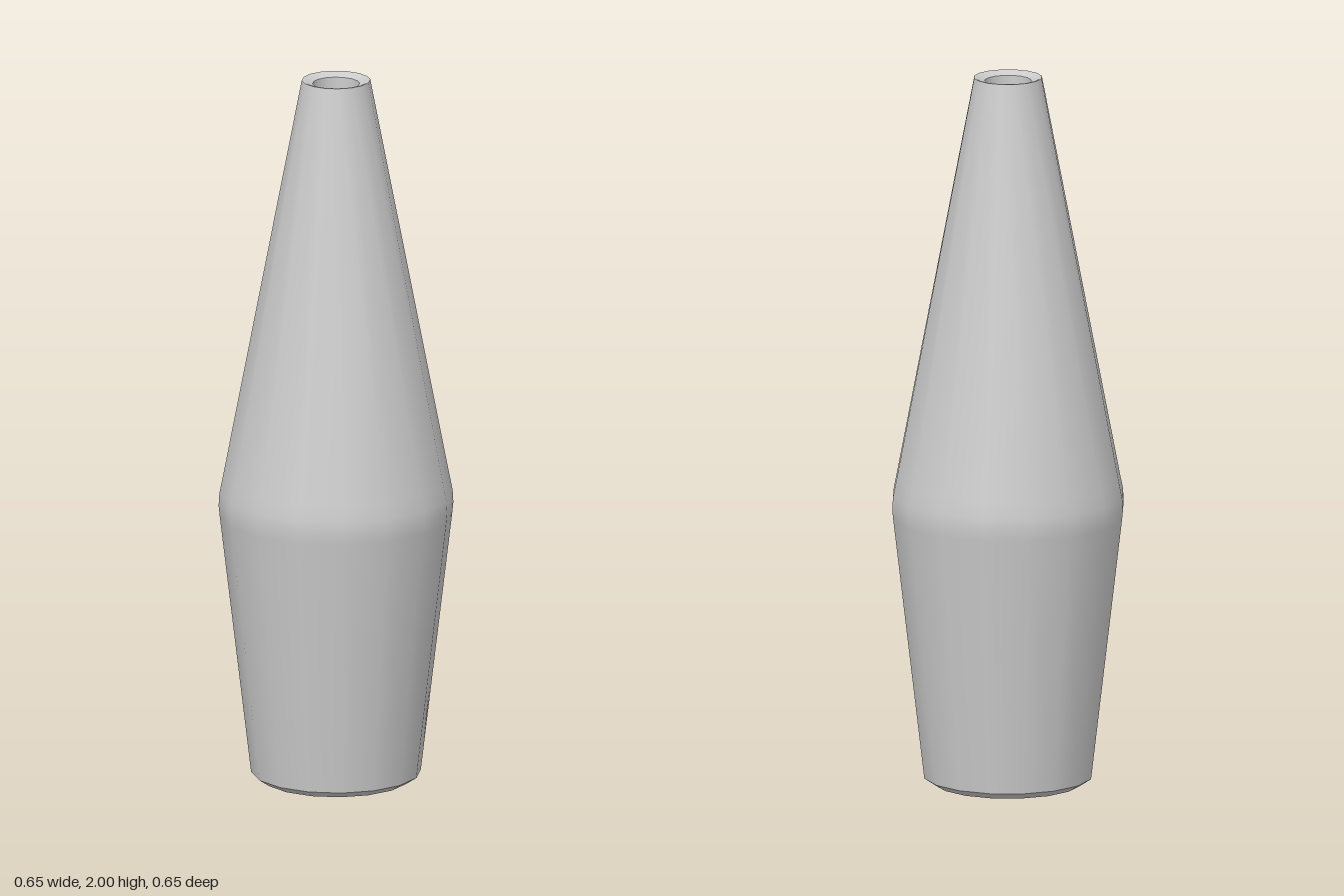
import * as THREE from 'three';

const SIDES = 16;

export function createModel() {
  const group = new THREE.Group();
  const material = new THREE.MeshStandardMaterial({ color: 0xcccccc });

  // Each part is its own lathe, so edges between parts stay sharp
  const turn = (name, profile) => {
    const points = profile.map(([r, y]) => new THREE.Vector2(r, y));
    const mesh = new THREE.Mesh(new THREE.LatheGeometry(points, SIDES), material);
    mesh.name = name;
    group.add(mesh);
  };

  // Underside and its chamfered edge
  turn('base', [[0, 0], [0.205, 0]]);
  turn('baseChamfer', [[0.205, 0], [0.235, 0.02]]);

  // Tapered body with a softened shoulder
  turn('body', [[0.235, 0.02], [0.322, 0.755], [0.325, 0.785], [0.323, 0.82], [0.314, 0.865], [0.095, 2]]);

  // Mouth: thin lip, shallow countersink, bore and bore floor
  turn('lip', [[0.095, 2], [0.09, 2]]);
  turn('countersink', [[0.09, 2], [0.065, 1.99]]);
  turn('bore', [[0.065, 1.99], [0.063, 1.87]]);
  turn('boreFloor', [[0.063, 1.87], [0, 1.87]]);

  return group;
}
